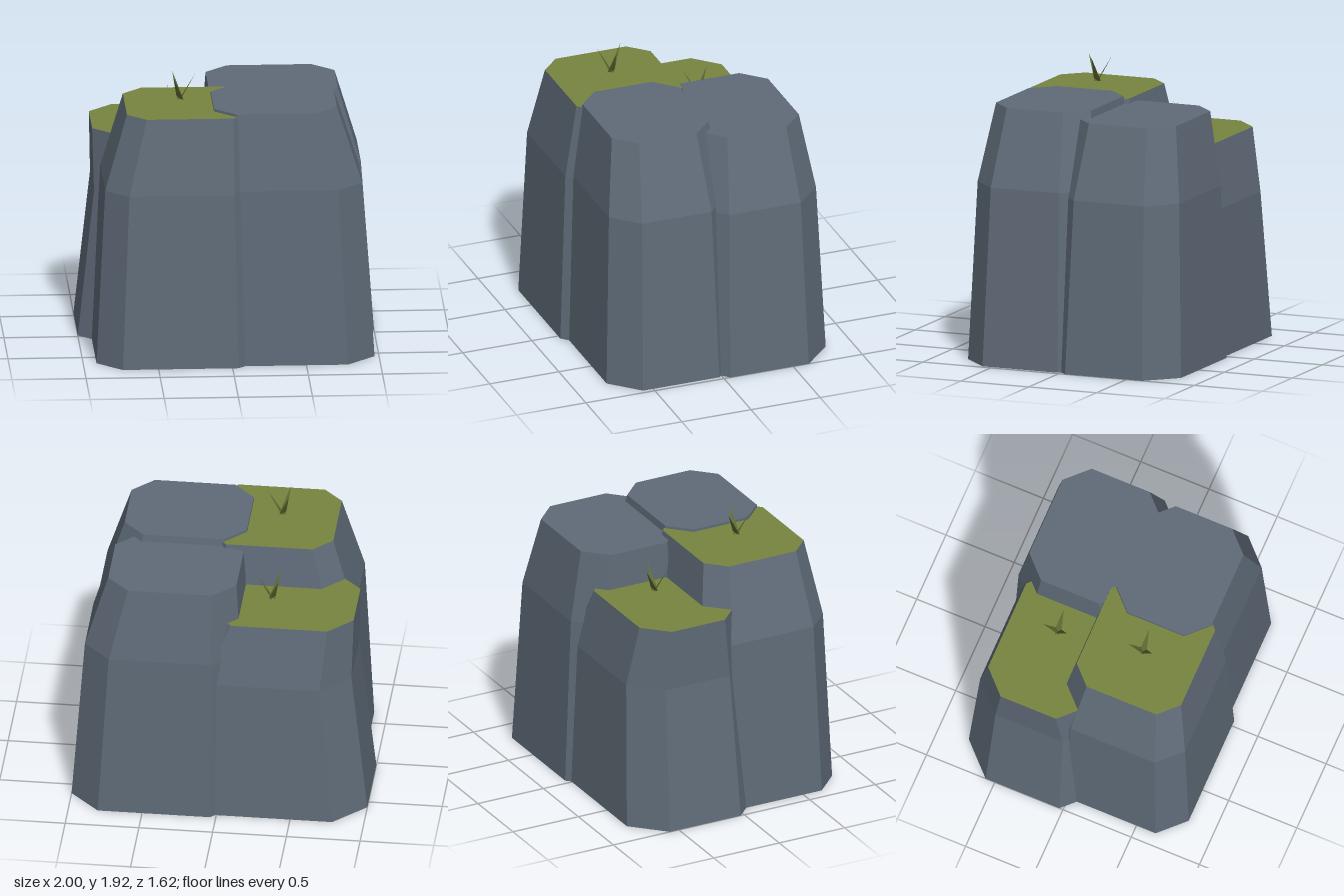
import * as THREE from 'three';

const material = (name, color, extra = {}) => {
  const m = new THREE.MeshStandardMaterial({ color, ...extra });
  m.name = name;
  return m;
};

// Octagonal outline: a rectangle with cut corners
function ring(cx, cz, hx, hz, cut, y) {
  const a = hx - cut, b = hz - cut;
  return [[hx, b], [a, hz], [-a, hz], [-hx, b], [-hx, -b], [-a, -hz], [a, -hz], [hx, -b]]
    .map(([x, z]) => [cx + x, y, cz + z]);
}

// Turns triangles into a flat-faced geometry
function fromTriangles(tris) {
  const g = new THREE.BufferGeometry();
  g.setAttribute('position', new THREE.Float32BufferAttribute(tris.flat(2), 3));
  g.computeVertexNormals();
  return g;
}

const fan = (r, up) => r.slice(2).map((p, i) => (up ? [r[0], p, r[i + 1]] : [r[0], r[i + 1], p]));

// Tapered rock: wide foot, shoulder at 70 % of the height, narrow top
function rockGeometry({ x, z, hx, hz, cut, height }) {
  const levels = [[0, 1], [0.7, 0.91], [1, 0.75]];
  const rings = levels.map(([t, s], i) => ring(x[i], z, hx * s, hz * s, cut * s, height * t));
  const tris = fan(rings[0], false);
  for (let k = 0; k < 2; k++) {
    const lo = rings[k], hi = rings[k + 1];
    for (let i = 0; i < 8; i++) {
      const j = (i + 1) % 8;
      tris.push([lo[i], hi[j], lo[j]], [lo[i], hi[i], hi[j]]);
    }
  }
  const sideCount = tris.length * 3;
  const cap = fan(rings[2], true);
  const g = fromTriangles([...tris, ...cap]);
  g.addGroup(0, sideCount, 0);
  g.addGroup(sideCount, cap.length * 3, 1);
  return g;
}

// Three flat blades leaning outward
function tuftGeometry() {
  const tris = [];
  for (let i = 0; i < 3; i++) {
    const a = (i * Math.PI * 2) / 3, c = Math.cos(a), s = Math.sin(a), w = 0.025;
    tris.push([[-s * w, 0, c * w], [c * 0.1, 0.175, s * 0.1], [s * w, 0, -c * w]]);
  }
  return fromTriangles(tris);
}

export function createModel() {
  const model = new THREE.Group();
  model.name = 'rockCluster';
  const stone = material('stone', 0x5f6b78);
  const grass = material('grass', 0x78843f);
  const blade = material('grassBlade', 0x5f6a32, { side: THREE.DoubleSide });

  // x holds the centre at foot, shoulder and top
  const rocks = [
    { name: 'frontRightRock', x: [-0.35, -0.34, -0.28], z: 0.3, hx: 0.56, hz: 0.51, cut: 0.17, height: 1.717, grassy: true },
    { name: 'frontLeftRock', x: [0.417, 0.385, 0.305], z: 0.298, hx: 0.553, hz: 0.466, cut: 0.19, height: 1.735 },
    { name: 'backRightRock', x: [-0.35, -0.298, -0.412], z: -0.297, hx: 0.65, hz: 0.485, cut: 0.215, height: 1.435, grassy: true },
    { name: 'backLeftRock', x: [0.42, 0.385, 0.325], z: -0.33, hx: 0.58, hz: 0.483, cut: 0.2, height: 1.685 },
  ];

  const tuft = tuftGeometry();
  for (const r of rocks) {
    const rock = new THREE.Mesh(rockGeometry(r), [stone, r.grassy ? grass : stone]);
    rock.name = r.name;
    model.add(rock);
    if (r.grassy) {
      const t = new THREE.Mesh(tuft, blade);
      t.name = r.name + 'GrassTuft';
      t.position.set(-0.327, r.height + 0.03, r.z > 0 ? 0.3 : -0.325);
      model.add(t);
    }
  }
  return model;
}
